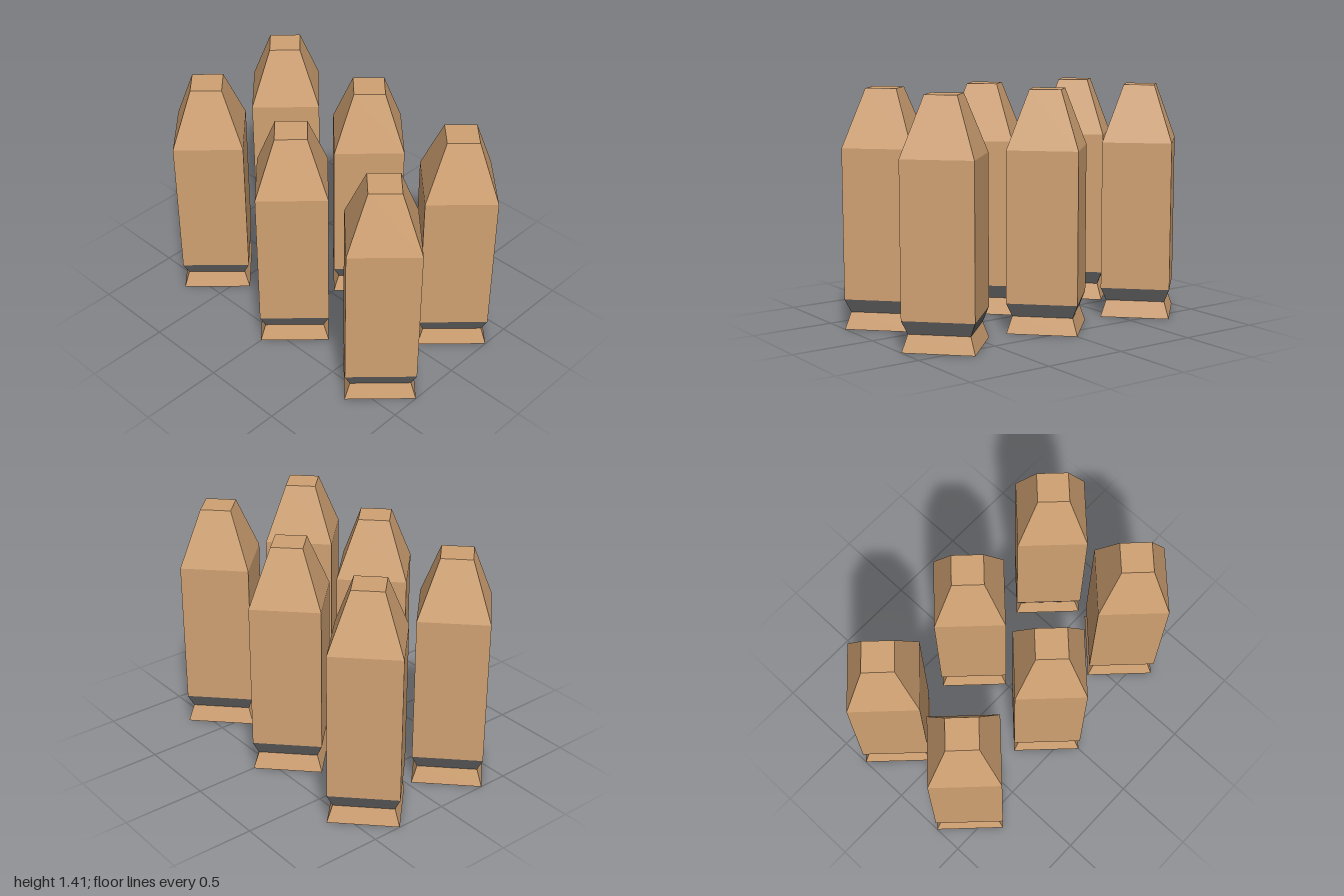
import * as THREE from 'three';

const R = 0.293;      // widest corner radius
const NECK = 0.25;    // groove corner radius
const TIP = 0.13;     // flat tip corner radius

// Four-sided part turned from a [radius, height] profile, listed bottom to top
function turned(name, profile, material) {
  const points = profile.map(([r, y]) => new THREE.Vector2(r, y));
  const mesh = new THREE.Mesh(new THREE.LatheGeometry(points, 4), material);
  mesh.name = name;
  return mesh;
}

export function createModel() {
  const model = new THREE.Group();
  model.name = 'cartridges';

  const brass = new THREE.MeshStandardMaterial({ color: 0xd0a172, flatShading: true });
  const dark = new THREE.MeshStandardMaterial({ color: 0x666666, flatShading: true });

  // One cartridge: flared rim, dark groove, straight case with tapered nose
  const cartridge = new THREE.Group();
  cartridge.add(
    turned('rim', [[0, 0], [R, 0], [NECK, 0.1]], brass),
    turned('groove', [[NECK, 0.1], [R, 0.18]], dark),
    turned('case', [[R, 0.18], [R, 1.07]], brass),
    turned('nose', [[R, 1.07], [TIP, 1.41], [0, 1.41]], brass)
  );

  // Two rows of three
  for (const z of [-0.32, 0.32]) {
    for (const x of [-0.707, 0, 0.707]) {
      const copy = cartridge.clone();
      copy.name = 'cartridge';
      copy.position.set(x, 0, z);
      model.add(copy);
    }
  }
  return model;
}
